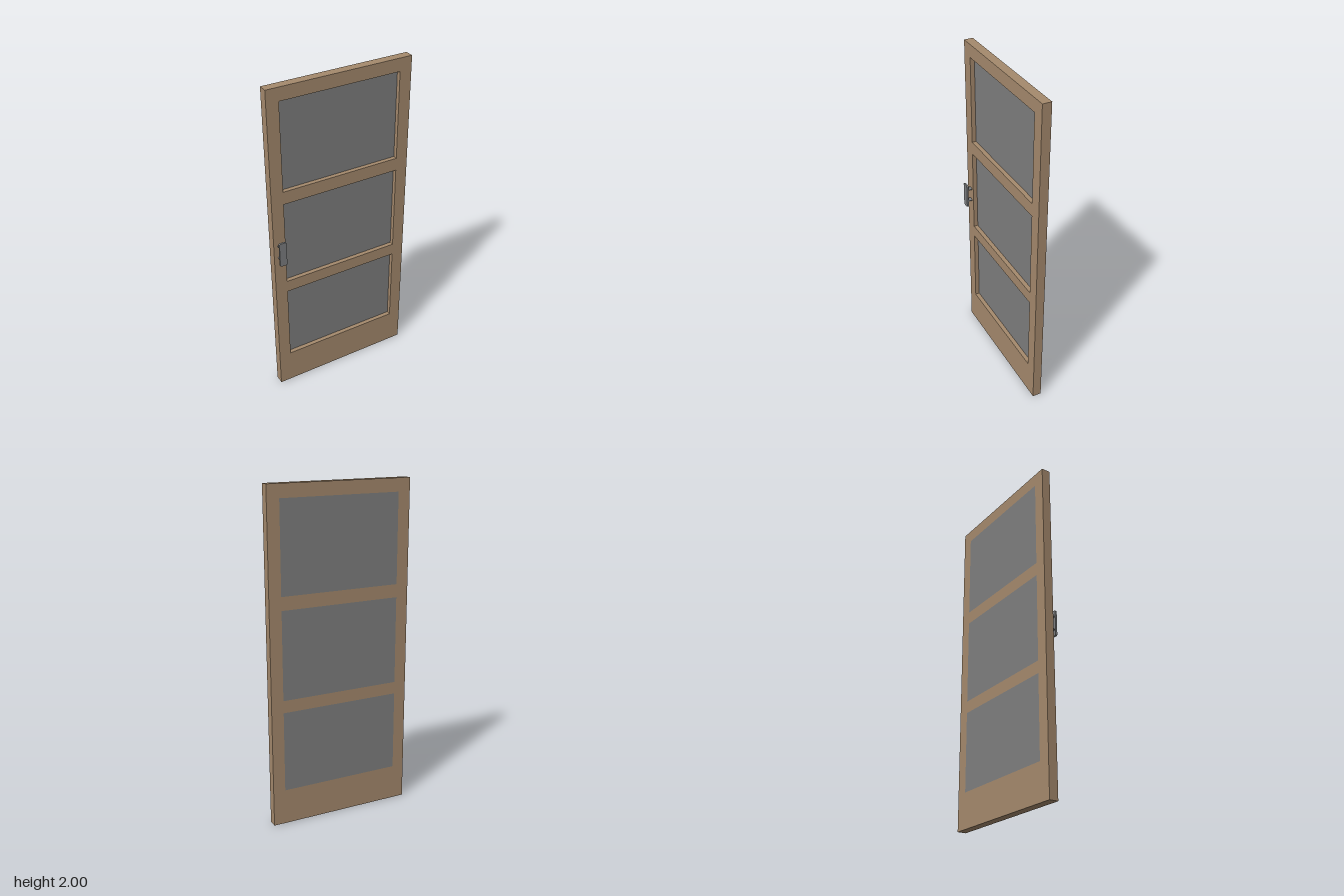
import * as THREE from 'three';

const wood = new THREE.MeshStandardMaterial({ name: 'wood', color: 0xa58a6d });
const glass = new THREE.MeshStandardMaterial({ name: 'greyPanel', color: 0x7f7f7f });
const metal = new THREE.MeshStandardMaterial({ name: 'handleMetal', color: 0x7d7f81 });

const BACK = -0.047, FRONT = 0.007;

function add(parent, name, geometry, material, x = 0, y = 0, z = 0) {
  const mesh = new THREE.Mesh(geometry, material);
  mesh.name = name;
  mesh.position.set(x, y, z);
  parent.add(mesh);
  return mesh;
}

// Closed rectangular outline
function rectangle(path, x0, y0, x1, y1) {
  path.moveTo(x0, y0).lineTo(x1, y0).lineTo(x1, y1).lineTo(x0, y1).closePath();
  return path;
}

// Rectangle with rounded corners, centred on the origin
function roundedPlate(w, h, r) {
  const s = new THREE.Shape(), x = w / 2, y = h / 2;
  s.moveTo(-x + r, -y);
  s.absarc(x - r, -y + r, r, -Math.PI / 2, 0);
  s.absarc(x - r, y - r, r, 0, Math.PI / 2);
  s.absarc(-x + r, y - r, r, Math.PI / 2, Math.PI);
  s.absarc(-x + r, -y + r, r, Math.PI, Math.PI * 1.5);
  return s;
}

export function createModel() {
  const door = new THREE.Group();
  door.name = 'door';

  // Panel openings: bottom and top heights
  const openings = [[0.215, 0.703], [0.777, 1.307], [1.386, 1.922]];
  const halfPanel = 0.368;

  // Wooden frame with three openings
  const outline = rectangle(new THREE.Shape(), -0.442, 0, 0.442, 2);
  for (const [y0, y1] of openings) {
    outline.holes.push(rectangle(new THREE.Path(), -halfPanel, y0, halfPanel, y1));
  }
  const frame = new THREE.ExtrudeGeometry(outline, { depth: FRONT - BACK, bevelEnabled: false });
  add(door, 'frame', frame, wood, 0, 0, BACK);

  // Panels flush with the back, recessed at the front
  const thickness = 0.028;
  openings.forEach(([y0, y1], i) => {
    add(door, `panel${i + 1}`, new THREE.BoxGeometry(halfPanel * 2, y1 - y0, thickness), glass,
      0, (y0 + y1) / 2, BACK + thickness / 2);
  });

  // Pull handle: a rounded plate on two oval posts
  const handle = new THREE.Group();
  handle.name = 'handle';
  handle.position.set(-0.402, 1.005, 0);
  door.add(handle);
  const plate = new THREE.ExtrudeGeometry(roundedPlate(0.044, 0.155, 0.008),
    { depth: 0.011, bevelEnabled: false, curveSegments: 4 });
  add(handle, 'handlePlate', plate, metal, 0, 0, 0.034);
  for (const side of [-1, 1]) {
    const post = new THREE.CylinderGeometry(1, 1, 0.029, 16, 1);
    post.rotateX(Math.PI / 2).scale(0.0165, 0.007, 1);
    add(handle, 'handlePost', post, metal, 0, side * 0.04, 0.0205);
  }

  return door;
}
